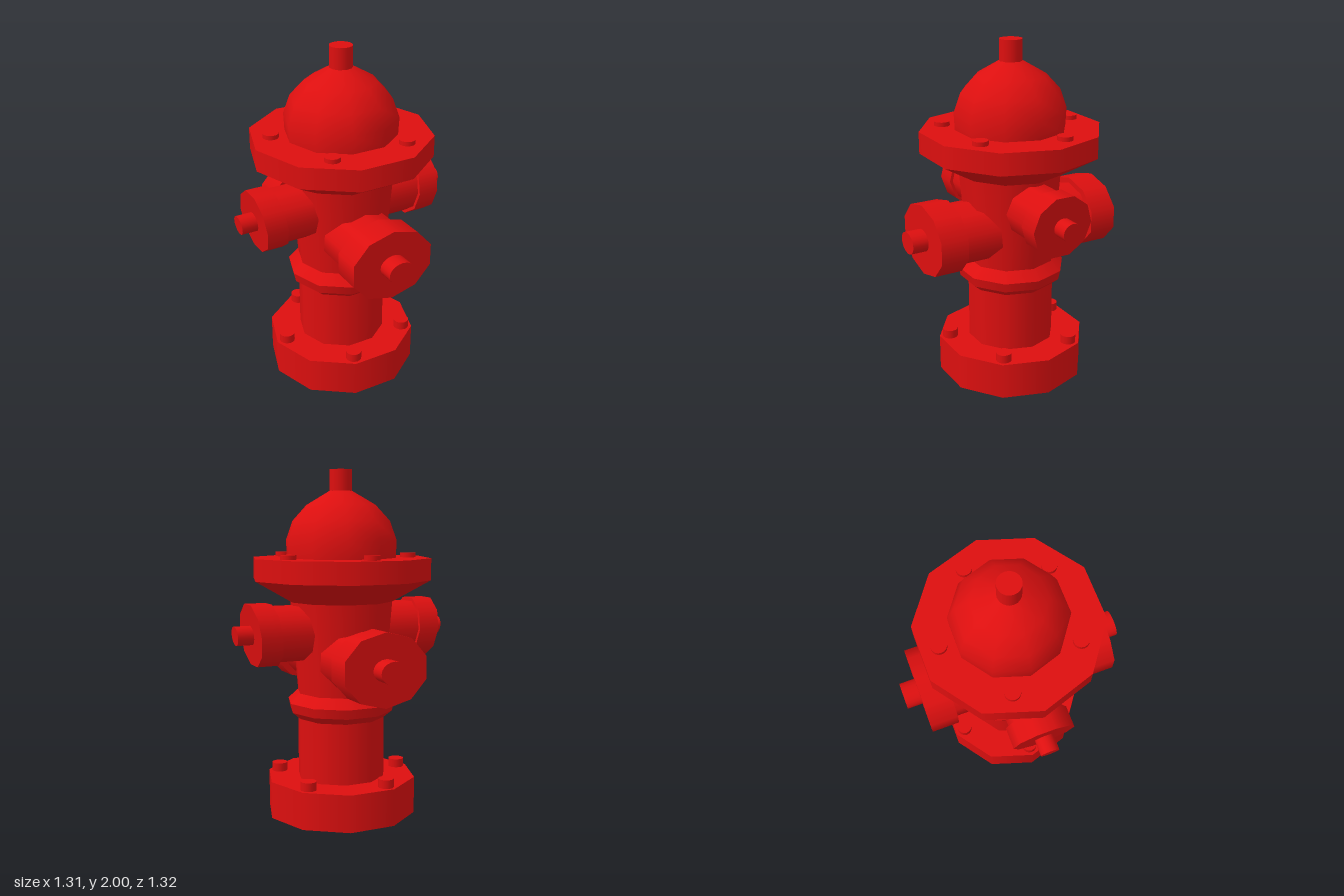
import * as THREE from 'three';

const SIDES = 10;

export function createModel() {
  const group = new THREE.Group();
  const red = new THREE.MeshStandardMaterial({ color: 0xdd0f0f });
  red.name = 'hydrant red';

  const add = (name, geometry, parent = group) => {
    const mesh = new THREE.Mesh(geometry, red);
    mesh.name = name;
    parent.add(mesh);
    return mesh;
  };

  // Upright section from y0 to y1, with a corner on the x axis
  const section = (name, r0, r1, y0, y1, sides = SIDES, open = false) =>
    add(name, new THREE.CylinderGeometry(r1, r0, y1 - y0, sides, 1, open, Math.PI / 2)
      .translate(0, (y0 + y1) / 2, 0));

  // Foot and barrel
  section('baseFlange', 0.44, 0.44, 0, 0.215);
  section('lowerBarrel', 0.257, 0.257, 0.215, 0.57);
  section('collarLower', 0.257, 0.305, 0.57, 0.61);
  section('collarMiddle', 0.305, 0.317, 0.61, 0.665);
  section('collarUpper', 0.317, 0.258, 0.665, 0.72);
  section('upperBarrel', 0.258, 0.302, 0.72, 1.25);

  // Bonnet
  section('bonnetFlare', 0.302, 0.523, 1.25, 1.375);
  section('bonnetFlange', 0.523, 0.523, 1.375, 1.5);
  const dome = [[0.32, 1.5], [0.325, 1.6], [0.285, 1.71], [0.202, 1.8], [0.065, 1.88], [0, 1.885]]
    .map(([r, y]) => new THREE.Vector2(r, y));
  add('dome', new THREE.LatheGeometry(dome, SIDES, Math.PI / 2));
  section('operatingNut', 0.065, 0.065, 1.86, 2, 20);

  // Five bolts on each flange
  const boltRing = (name, radius, start, y0, y1) => {
    for (let i = 0; i < 5; i++) {
      const a = start + (i * Math.PI * 2) / 5;
      const bolt = section(name, 0.045, 0.045, y0, y1, 16);
      bolt.position.set(radius * Math.cos(a), 0, radius * Math.sin(a));
    }
  };
  boltRing('baseBolt', 0.375, Math.PI, 0.2, 0.265);
  boltRing('bonnetBolt', 0.395, -Math.PI / 2, 1.49, 1.525);

  // Outlet pieces: radius, inner end, outer end, sides
  const outlet = (name, parts, place) => {
    const g = new THREE.Group();
    g.name = name;
    group.add(g);
    for (const [part, r, from, to, sides] of parts) {
      const geo = new THREE.CylinderGeometry(r, r, to - from, sides)
        .translate(0, (from + to) / 2, 0);
      place(geo);
      add(part, geo, g);
    }
  };

  for (const s of [1, -1]) {
    // Large outlets on front and back, wider than tall
    outlet(s > 0 ? 'frontOutlet' : 'backOutlet', [
      ['pipe', 0.173, 0.12, 0.41, SIDES],
      ['cap', 0.206, 0.405, 0.568, SIDES],
      ['capNut', 0.063, 0.56, 0.66, 20],
    ], (geo) => geo.rotateX(s * Math.PI / 2).scale(1.25, 1, 1).translate(0, 0.925, 0));

    // Small side outlets, leaning with the barrel's taper
    const lean = new THREE.Matrix4().set(1, s * 0.1, 0, 0, 0, 1, 0, 0, 0, 0, 1, 0, 0, 0, 0, 1);
    outlet(s > 0 ? 'leftOutlet' : 'rightOutlet', [
      ['pipe', 0.163, 0.15, 0.435, SIDES],
      ['cap', 0.182, 0.43, 0.555, SIDES],
      ['capNut', 0.055, 0.545, 0.648, 20],
    ], (geo) => geo.rotateZ(-s * Math.PI / 2).applyMatrix4(lean).translate(0, 1.077, 0));
  }
  return group;
}
